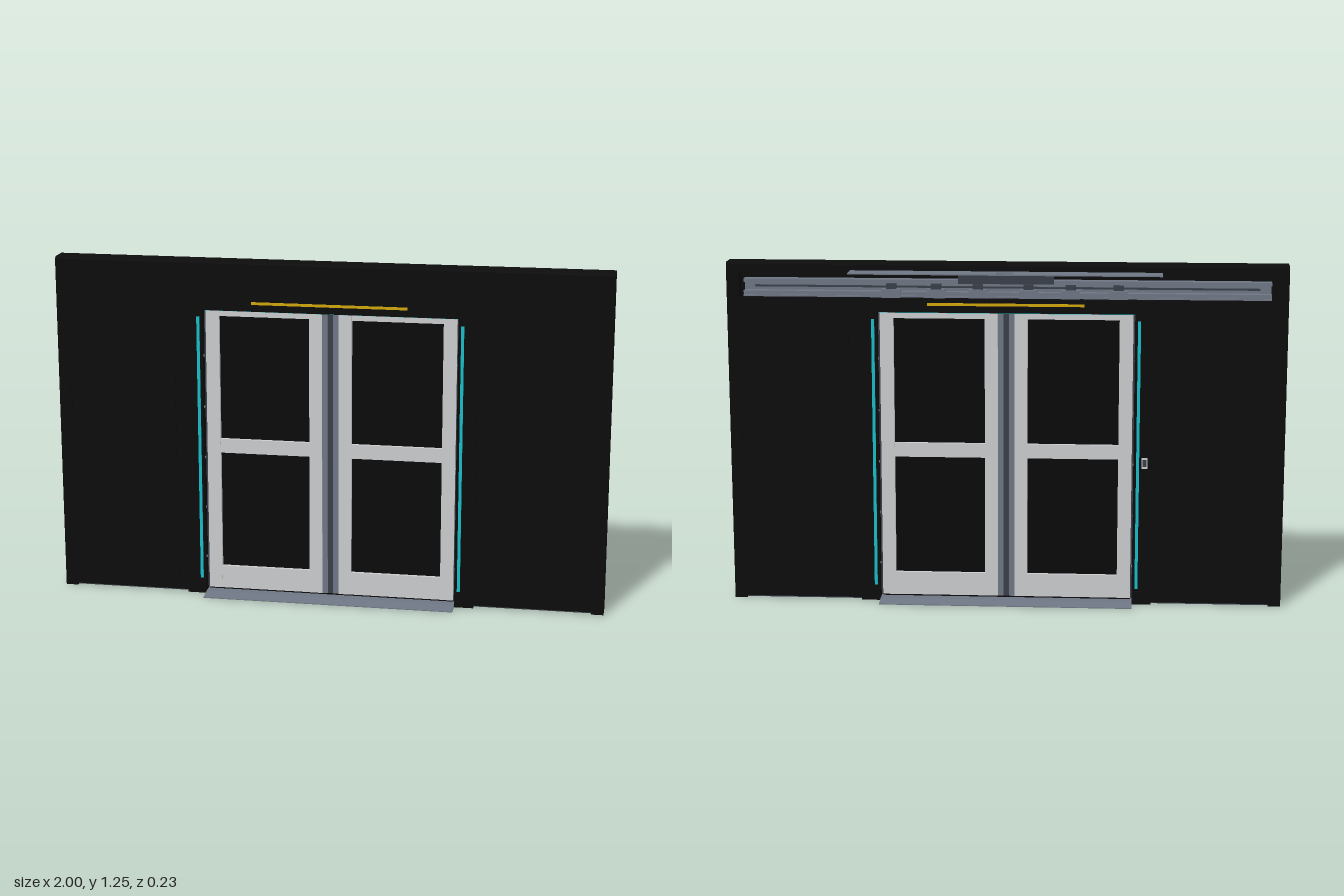
import * as THREE from 'three';

const mat = (name, color, side = THREE.FrontSide) => {
  const m = new THREE.MeshStandardMaterial({ color, side });
  m.name = name;
  return m;
};

export function createModel() {
  const black = mat('black panel', 0x0c0c0d);
  const glassBlack = mat('dark glass', 0x0a0a0b);
  const white = mat('door frame white', 0xc9cbce);
  const steel = mat('blue grey steel', 0x6e7684);
  const dark = mat('dark steel', 0x3a4049);
  const cyan = mat('cyan light', 0x18bcc8);
  const yellow = mat('yellow light', 0xcfa60c);

  const model = new THREE.Group();
  model.name = 'slidingDoorWall';

  // Box given by its limits on each axis
  const box = (name, m, x0, x1, y0, y1, z0, z1, parent = model) => {
    const mesh = new THREE.Mesh(new THREE.BoxGeometry(Math.abs(x1 - x0), y1 - y0, z1 - z0), m);
    mesh.position.set((x0 + x1) / 2, (y0 + y1) / 2, (z0 + z1) / 2);
    mesh.name = name;
    parent.add(mesh);
    return mesh;
  };
  // Prism along x from a profile of [z, y] points
  const prism = (name, m, pts, halfLength) => {
    const shape = new THREE.Shape(pts.map(([z, y]) => new THREE.Vector2(-z, y)));
    const geo = new THREE.ExtrudeGeometry(shape, { depth: halfLength * 2, bevelEnabled: false });
    geo.translate(0, 0, -halfLength).rotateY(Math.PI / 2);
    const mesh = new THREE.Mesh(geo, m);
    mesh.name = name;
    model.add(mesh);
    return mesh;
  };

  const zBack = -0.034, zFront = 0.051;
  const postBack = -0.039, postFront = 0.058;

  // Header: front skin and chamfered top, open to the back for the drive
  box('headerFront', black, -0.96, 0.96, 1.1, 1.22, 0.015, zFront);
  prism('headerTop', black, [
    [zBack, 1.212], [zFront, 1.212], [zFront, 1.238], [zFront - 0.007, 1.245],
    [zBack + 0.007, 1.245], [zBack, 1.238],
  ], 1);
  box('lintel', black, -0.46, 0.46, 1.07, 1.12, postBack, postFront);

  for (const s of [-1, 1]) {
    const side = s > 0 ? 'left' : 'right';
    // Side walls, end posts and door posts
    box(side + 'Wall', black, s * 0.46, s * 0.96, 0.008, 1.115, zBack + 0.004, zFront - 0.004);
    box(side + 'EndPost', black, s * 0.955, s, 0, 1.213, zBack, zFront);
    box(side + 'DoorPost', black, s * 0.46, s * 0.53, 0, 1.12, postBack, postFront);
    box(side + 'Plinth', dark, s * 0.53, s * 0.955, 0.002, 0.008, zBack + 0.008, zFront - 0.008);

    // Raised panels on both faces, with slats on the middle one
    for (const [z0, z1, out] of [[zFront - 0.004, zFront, 1], [zBack, zBack + 0.004, -1]]) {
      const d = out * 0.002;
      box('wallBorderTop', black, s * 0.53, s * 0.955, 1.1, 1.12, z0, z1);
      box('wallBorderBottom', black, s * 0.53, s * 0.955, 0.008, 0.035, z0, z1);
      for (const [y0, y1] of [[0.05, 0.41], [0.46, 0.87], [0.92, 1.09]])
        box('wallPanel', black, s * 0.565, s * 0.945, y0, y1, z0 + d, z1 + d);
      for (let i = 0; i < 4; i++)
        box('ventSlat', black, s * 0.62, s * 0.89, 0.58 + i * 0.05, 0.595 + i * 0.05, z0 + 2 * d, z1 + 2 * d);
    }

    // Light strips beside the doorway
    box(side + 'FrontLightStrip', cyan, s * 0.47, s * 0.481, 0.06, 1.045, postFront - 0.002, postFront + 0.003);
    box(side + 'BackLightStrip', cyan, s * 0.47, s * 0.481, 0.06, 1.045, postBack - 0.003, postBack + 0.002);

    // Bolts on the inside of the door post
    for (let i = 0; i < 5; i++) for (const z of [-0.026, 0.045]) {
      const bolt = new THREE.Mesh(new THREE.CylinderGeometry(0.005, 0.005, 0.003, 10), steel);
      bolt.name = 'bolt';
      bolt.rotation.z = Math.PI / 2;
      bolt.position.set(s * 0.459, 0.14 + i * 0.19, z);
      model.add(bolt);
    }

    // Door leaf
    const door = new THREE.Group();
    door.name = side + 'Door';
    model.add(door);
    const dz0 = -0.01, dz1 = 0.03;
    box('outerStile', white, s * 0.405, s * 0.454, 0.015, 1.068, dz0, dz1, door);
    box('outerEdge', dark, s * 0.454, s * 0.46, 0.015, 1.068, dz0 + 0.003, dz1 - 0.003, door);
    box('innerStile', white, s * 0.03, s * 0.077, 0.015, 1.068, dz0, dz1, door);
    for (const [y0, y1] of [[0.015, 0.1], [0.535, 0.587], [1.044, 1.068]])
      box('rail', white, s * 0.077, s * 0.405, y0, y1, dz0 + 0.001, dz1 - 0.001, door);
    box('glass', glassBlack, s * 0.07, s * 0.41, 0.09, 1.05, 0.004, 0.016, door);
    box('meetingStile', steel, s * 0.01, s * 0.03, 0.015, 1.068, dz0 + 0.002, dz1 - 0.002, door);
    box('rubberSeal', dark, 0, s * 0.01, 0.015, 1.068, dz0 + 0.006, dz1 - 0.006, door);
  }

  // Light bars over the doorway and under the lintel
  box('frontLightBar', yellow, -0.28, 0.28, 1.095, 1.105, postFront - 0.002, postFront + 0.002);
  box('backLightBar', yellow, -0.28, 0.28, 1.095, 1.105, postBack - 0.002, postBack + 0.002);
  for (const z of [-0.026, 0.043])
    box('lintelLight', cyan, -0.455, 0.455, 1.067, 1.071, z - 0.004, z + 0.004);

  // Threshold ramp
  prism('threshold', steel, [
    [-0.096, 0], [0.114, 0], [0.114, 0.003], [0.06, 0.009], [-0.042, 0.009], [-0.096, 0.003],
  ], 0.46);
  box('floorGuide', black, -0.455, 0.455, 0.008, 0.015, -0.004, 0.024);

  // Drive rail in the header
  prism('driveRail', steel, [
    [0.016, 1.122], [0.016, 1.185], [-0.022, 1.185], [-0.022, 1.172], [-0.016, 1.172],
    [-0.016, 1.179], [0.006, 1.179], [0.006, 1.142], [-0.024, 1.142], [-0.024, 1.128],
    [-0.03, 1.128], [-0.03, 1.122],
  ], 0.94);
  box('driveBelt', dark, -0.9, 0.9, 1.155, 1.161, -0.012, -0.002);
  for (const x of [-0.4, -0.23, -0.08, 0.1, 0.25, 0.41]) {
    box('doorHanger', steel, x - 0.033, x + 0.033, 1.121, 1.152, -0.033, -0.01);
    box('hangerRoller', dark, x - 0.018, x + 0.018, 1.152, 1.17, -0.026, -0.004);
  }
  box('motor', dark, -0.17, 0.17, 1.172, 1.205, -0.024, 0.01);

  // Opened cover over the drive
  box('coverFlap', steel, -0.555, 0.555, 1.215, 1.219, -0.114, -0.03);
  box('coverLip', steel, -0.03, 0.03, 1.219, 1.225, -0.104, -0.098);

  // Door switch on the back of the right post
  box('switchPlate', white, -0.511, -0.489, 0.51, 0.55, postBack - 0.002, postBack + 0.001);
  box('switchButton', dark, -0.507, -0.493, 0.517, 0.543, postBack - 0.003, postBack);

  return model;
}
